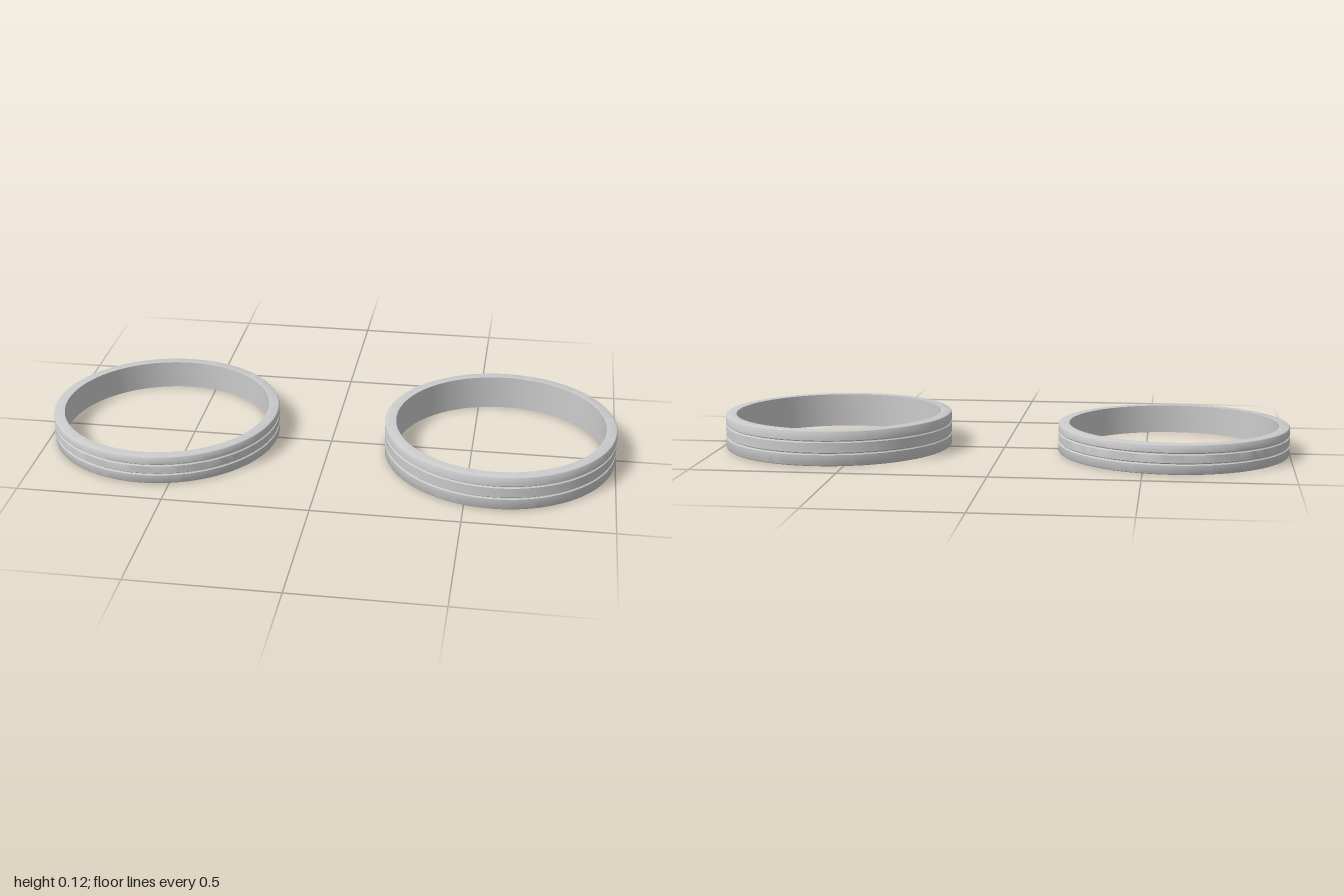
import * as THREE from 'three';
import { toCreasedNormals } from 'three/addons/utils/BufferGeometryUtils.js';

const OUTER = 0.403, INNER = 0.365, SEGMENTS = 96;

// Closed ring cross-section: rounded edges, two shallow grooves at thirds of the height
function ringProfile(height) {
  const b = 0.006, grooveHalf = 0.004, grooveDepth = 0.005;
  const points = [];
  const add = (r, y) => points.push(new THREE.Vector2(r, y));
  const corner = (r, y, start) => {
    for (let i = 0; i <= 4; i++) {
      const a = start + (i / 4) * Math.PI / 2;
      add(r + b * Math.cos(a), y + b * Math.sin(a));
    }
  };
  add(INNER, 0);
  corner(OUTER - b, b, -Math.PI / 2);
  for (const t of [0.355, 0.695]) {
    const y = height * t;
    for (let i = 0; i <= 6; i++) {
      const a = (i / 6) * Math.PI;
      add(OUTER - grooveDepth * Math.sin(a), y - grooveHalf * Math.cos(a));
    }
  }
  corner(OUTER - b, height - b, 0);
  add(INNER, height);
  add(INNER, 0);
  return points;
}

function makeRing(name, x, height) {
  const geometry = toCreasedNormals(new THREE.LatheGeometry(ringProfile(height), SEGMENTS), 0.6);
  const ring = new THREE.Mesh(geometry, new THREE.MeshStandardMaterial({ color: 0xcccccc }));
  ring.name = name;
  ring.position.x = x;
  return ring;
}

export function createModel() {
  const group = new THREE.Group();
  group.name = 'ringPair';
  // The left ring is slightly taller than the right one
  group.add(makeRing('leftRing', 0.597, 0.121));
  group.add(makeRing('rightRing', -0.597, 0.101));
  return group;
}
